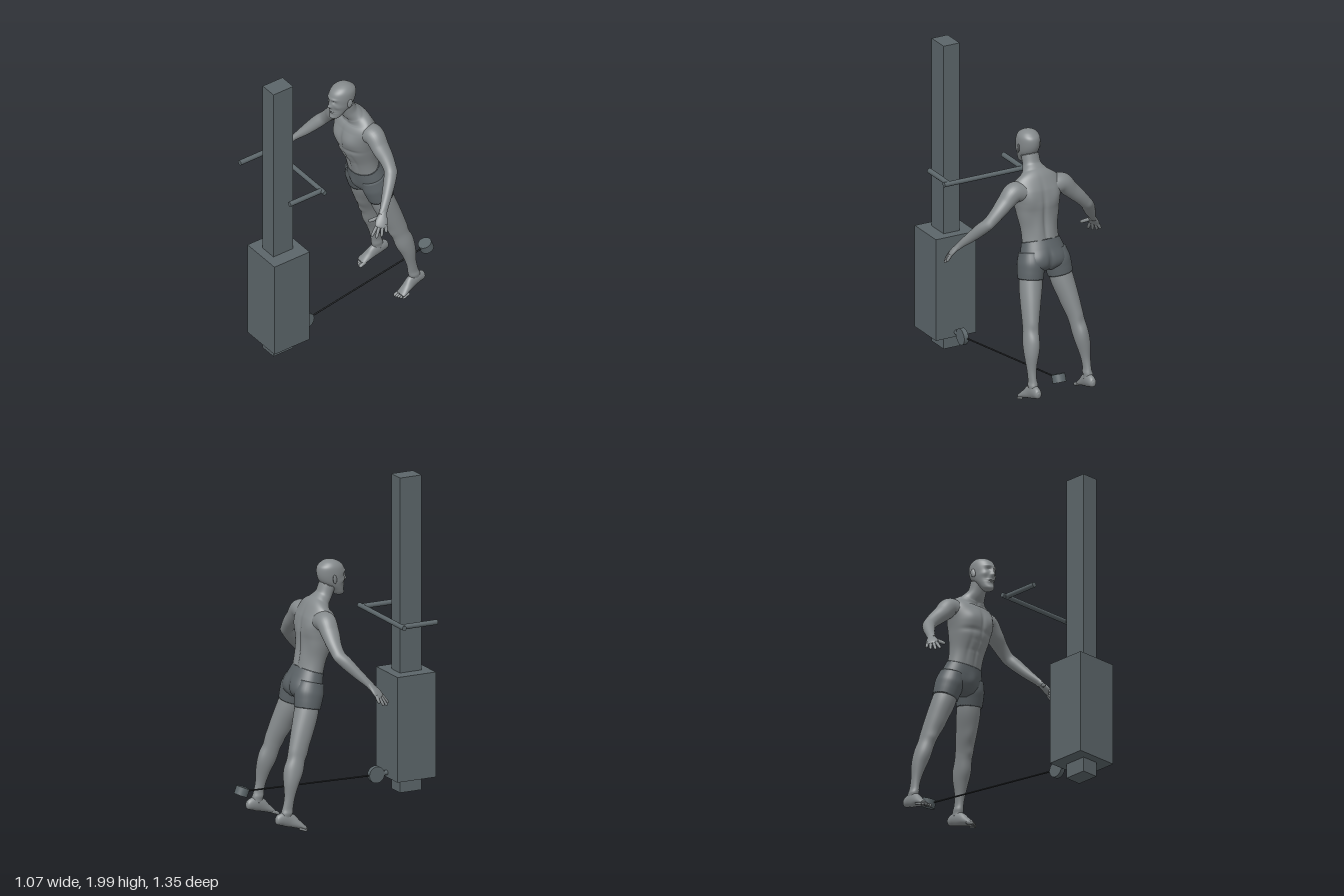
import * as THREE from 'three';

const mat = (name, color) => Object.assign(new THREE.MeshStandardMaterial({ color }), { name });
const skin = mat('skin', 0x84898b);
const cloth = mat('shorts cloth', 0x5a6165);
const steel = mat('machine grey', 0x5b6569);
const cord = mat('cable black', 0x2a2d2f);
const V = (x, y, z) => new THREE.Vector3(x, y, z);

// Smooth skin through elliptical sections [x, y, z, halfWidth, halfDepth].
// ref = width direction; axis = fixed section normal (otherwise it follows the path).
function loft(keys, { rings = 40, sides = 32, ref = V(1, 0, 0), axis = null, bumps = [] } = {}) {
  const path = new THREE.CatmullRomCurve3(keys.map(k => V(k[0], k[1], k[2])), false, 'catmullrom', 0.5);
  const size = new THREE.CatmullRomCurve3(keys.map(k => V(k[3], k[4], 0)), false, 'catmullrom', 0.5);
  const pos = [], idx = [];
  for (let i = 0; i <= rings; i++) {
    const c = path.getPoint(i / rings), s = size.getPoint(i / rings);
    const t = axis || path.getTangent(i / rings);
    const u = ref.clone().addScaledVector(t, -ref.dot(t)).normalize();
    const w = t.clone().cross(u);
    for (let j = 0; j < sides; j++) {
      const a = j / sides * Math.PI * 2;
      const p = c.clone().addScaledVector(u, Math.cos(a) * s.x).addScaledVector(w, Math.sin(a) * s.y);
      pos.push(p.x, p.y, p.z);
      if (i < rings) {
        const k = (j + 1) % sides, r = i * sides, q = r + sides;
        idx.push(r + j, r + k, q + j, r + k, q + k, q + j);
      }
    }
  }
  // End caps
  const first = path.getPoint(0), last = path.getPoint(1), n = (rings + 1) * sides;
  pos.push(...first.toArray(), ...last.toArray());
  for (let j = 0; j < sides; j++) {
    const k = (j + 1) % sides, r = rings * sides;
    idx.push(n, k, j, n + 1, r + j, r + k);
  }
  const g = new THREE.BufferGeometry();
  g.setAttribute('position', new THREE.Float32BufferAttribute(pos, 3));
  g.setIndex(idx);
  g.computeVertexNormals();
  return bumps.length ? sculpt(g, bumps) : g;
}

// Push the surface in or out around points [x, y, z, radiusX, radiusY, amount], on both sides of x = 0
function sculpt(g, bumps) {
  const p = g.attributes.position, nor = g.attributes.normal;
  for (let i = 0; i < p.count; i++) {
    const x = Math.abs(p.getX(i)), y = p.getY(i), z = p.getZ(i);
    let d = 0;
    for (const [bx, by, bz, rx, ry, amount] of bumps)
      d += amount * Math.exp(-(((x - bx) / rx) ** 2) - ((y - by) / ry) ** 2 - ((z - bz) / 0.06) ** 2);
    p.setXYZ(i, p.getX(i) + nor.getX(i) * d, y + nor.getY(i) * d, z + nor.getZ(i) * d);
  }
  g.computeVertexNormals();
  return g;
}

function mirrored(g) {
  const m = g.clone().scale(-1, 1, 1), a = m.index.array;
  for (let i = 0; i < a.length; i += 3) [a[i], a[i + 1]] = [a[i + 1], a[i]];
  m.computeVertexNormals();
  return m;
}

export function createModel() {
  const model = new THREE.Group();
  model.name = 'cableMachineExercise';
  const machine = new THREE.Group(), figure = new THREE.Group();
  machine.name = 'machine';
  figure.name = 'figure';
  model.add(machine, figure);
  const add = (parent, name, g, m) => {
    const mesh = new THREE.Mesh(g, m);
    mesh.name = name;
    parent.add(mesh);
    return mesh;
  };
  const box = (name, x0, x1, y0, y1, z0, z1) =>
    add(machine, name, new THREE.BoxGeometry(x1 - x0, y1 - y0, z1 - z0), steel)
      .position.set((x0 + x1) / 2, (y0 + y1) / 2, (z0 + z1) / 2);
  const rod = (name, a, b, r, m = steel, sides = 20) => {
    const d = b.clone().sub(a);
    const mesh = add(machine, name, new THREE.CylinderGeometry(r, r, d.length(), sides), m);
    mesh.position.copy(a).add(b).multiplyScalar(0.5);
    mesh.quaternion.setFromUnitVectors(V(0, 1, 0), d.normalize());
  };
  const pair = (name, g, m = skin) => {
    add(figure, 'left' + name, g, m);
    add(figure, 'right' + name, mirrored(g), m);
  };

  // Machine: post, weight housing, handle bar, pulley, cable and cuff
  box('post', 0.158, 0.268, 0.035, 2, 0.477, 0.623);
  box('weightHousing', 0.078, 0.354, 0.127, 0.783, 0.418, 0.678);
  rod('handleBar', V(-0.217, 1.18, 0.309), V(0.361, 1.18, 0.309), 0.015);
  for (const x of [-0.183, 0.326]) rod('handleGrip', V(x, 1.18, 0.31), V(x, 1.18, 0.547), 0.016);
  rod('pulley', V(0.199, 0.154, 0.344), V(0.229, 0.154, 0.344), 0.051, steel, 32);
  rod('pulleyArm', V(0.214, 0.156, 0.35), V(0.214, 0.156, 0.43), 0.015);
  rod('cable', V(0.21, 0.153, 0.335), V(0.1, 0.208, -0.6), 0.005, cord, 10);
  rod('ankleCuff', V(0.097, 0.188, -0.637), V(0.097, 0.236, -0.618), 0.042, steel, 32);

  // Torso and neck, with chest, belly and back muscles
  const torsoBumps = [
    [0.07, 1.21, -0.06, 0.055, 0.05, 0.015], [0, 1.2, -0.06, 0.012, 0.07, -0.008],
    [0.07, 1.135, -0.08, 0.06, 0.014, -0.007], [0, 1.03, -0.11, 0.009, 0.11, -0.007],
    [0.06, 1.02, -0.12, 0.012, 0.1, -0.005], [0, 1.08, -0.1, 0.05, 0.009, -0.003],
    [0, 1.02, -0.11, 0.05, 0.009, -0.003], [0, 1.1, -0.29, 0.014, 0.18, -0.012],
    [0.09, 1.23, -0.28, 0.045, 0.06, 0.012], [0.045, 1.03, -0.29, 0.03, 0.1, 0.007],
    [0.11, 1.12, -0.25, 0.04, 0.07, 0.008], [0, 1.335, -0.09, 0.016, 0.016, -0.008],
  ];
  add(figure, 'torso', loft([
    [0, 0.84, -0.265, 0.14, 0.085], [0, 0.93, -0.235, 0.12, 0.084], [0, 1.03, -0.21, 0.117, 0.088],
    [0, 1.13, -0.185, 0.132, 0.108], [0, 1.2, -0.178, 0.148, 0.112], [0, 1.275, -0.178, 0.165, 0.098],
    [0, 1.33, -0.172, 0.14, 0.074], [0, 1.365, -0.152, 0.085, 0.056], [0, 1.4, -0.125, 0.058, 0.05],
    [0, 1.46, -0.1, 0.054, 0.052],
  ], { rings: 100, sides: 96, bumps: torsoBumps }), skin);

  // Head with face relief
  const headBumps = [
    [0, 1.482, 0.02, 0.013, 0.013, 0.017], [0, 1.505, 0.02, 0.008, 0.022, 0.01],
    [0.026, 1.516, 0.005, 0.015, 0.012, -0.012], [0.022, 1.538, 0.01, 0.024, 0.008, 0.005],
    [0, 1.447, 0.01, 0.022, 0.005, 0.006], [0, 1.435, 0.01, 0.02, 0.005, 0.005],
    [0, 1.441, 0.01, 0.025, 0.003, -0.004], [0, 1.4, 0.01, 0.02, 0.013, 0.007],
    [0.045, 1.485, -0.01, 0.016, 0.018, 0.005], [0.035, 1.46, 0, 0.012, 0.02, -0.004],
  ];
  const headProfile = [ // height, front, back, half width
    [1.387, -0.005, -0.035, 0.012], [1.4, 0.004, -0.06, 0.034], [1.43, 0.004, -0.09, 0.048],
    [1.46, 0.008, -0.13, 0.058], [1.49, 0.01, -0.155, 0.064], [1.53, 0.013, -0.167, 0.068],
    [1.57, 0, -0.164, 0.065], [1.595, -0.027, -0.14, 0.05], [1.609, -0.058, -0.114, 0.027],
    [1.614, -0.084, -0.088, 0.002],
  ];
  add(figure, 'head', loft(headProfile.map(([y, f, b, a]) => [0, y, (f + b) / 2, a, (f - b) / 2]),
    { rings: 110, sides: 96, axis: V(0, 1, 0), bumps: headBumps }), skin);
  const ear = new THREE.SphereGeometry(1, 16, 12).scale(0.007, 0.029, 0.016).rotateX(-0.2).rotateY(-0.35);
  pair('Ear', ear.translate(0.07, 1.502, -0.085));

  // Shorts: pelvis and two legs
  add(figure, 'shortsSeat', loft([
    [0, 0.953, -0.23, 0.122, 0.087], [0, 0.9, -0.248, 0.14, 0.097], [0, 0.85, -0.265, 0.155, 0.1],
    [0, 0.805, -0.278, 0.155, 0.085], [0, 0.775, -0.286, 0.1, 0.05],
  ], { rings: 50, sides: 80, bumps: [[0.07, 0.85, -0.365, 0.06, 0.055, 0.012], [0, 0.84, -0.365, 0.012, 0.06, -0.014],
    [0, 0.84, -0.17, 0.03, 0.04, 0.01]] }), cloth);
  pair('ShortsLeg', loft([
    [0.08, 0.89, -0.25, 0.07, 0.08], [0.086, 0.83, -0.268, 0.083, 0.092], [0.095, 0.78, -0.28, 0.081, 0.087],
    [0.102, 0.735, -0.29, 0.077, 0.08],
  ], { rings: 20 }), cloth);

  // Legs
  pair('Leg', loft([
    [0.09, 0.8, -0.275, 0.066, 0.072], [0.108, 0.7, -0.303, 0.07, 0.075], [0.13, 0.6, -0.34, 0.06, 0.07],
    [0.15, 0.5, -0.378, 0.049, 0.061], [0.158, 0.45, -0.395, 0.046, 0.058], [0.17, 0.38, -0.415, 0.047, 0.059],
    [0.179, 0.31, -0.437, 0.042, 0.048], [0.186, 0.22, -0.454, 0.028, 0.033], [0.188, 0.15, -0.468, 0.024, 0.034],
    [0.188, 0.1, -0.48, 0.027, 0.036],
  ], { rings: 70, bumps: [[0.155, 0.47, -0.33, 0.025, 0.03, 0.007], [0.15, 0.37, -0.475, 0.03, 0.06, 0.008],
    [0.11, 0.56, -0.3, 0.025, 0.05, 0.006], [0.165, 0.46, -0.46, 0.025, 0.03, -0.006],
    [0.163, 0.14, -0.465, 0.02, 0.015, 0.005], [0.212, 0.13, -0.47, 0.02, 0.015, 0.005]] }));

  // Feet with raised heels, and toes
  pair('Foot', loft([
    [0.188, 0.09, -0.55, 0.008, 0.01], [0.188, 0.09, -0.538, 0.022, 0.028], [0.188, 0.093, -0.495, 0.028, 0.042],
    [0.191, 0.08, -0.452, 0.029, 0.042], [0.197, 0.056, -0.412, 0.033, 0.028], [0.202, 0.034, -0.375, 0.035, 0.017],
    [0.203, 0.026, -0.36, 0.03, 0.012],
  ], { rings: 30 }));
  for (let i = 0; i < 5; i++) {
    const x = 0.176 + i * 0.0138, r = i ? 0.0075 : 0.011, z = -0.34 - i * i * 0.0018;
    pair('Toe', loft([[x, 0.03, z - 0.04, r, r], [x, 0.023, z - 0.018, r, r], [x, 0.015, z, r, r * 0.9],
      [x, 0.012, z + 0.008, r * 0.3, r * 0.3]], { rings: 10, sides: 12 }));
  }

  // Arms
  pair('Arm', loft([
    [0.1, 1.265, -0.19, 0.06, 0.07], [0.165, 1.272, -0.195, 0.062, 0.064], [0.222, 1.22, -0.198, 0.05, 0.056],
    [0.28, 1.165, -0.203, 0.042, 0.046], [0.333, 1.108, -0.195, 0.037, 0.039], [0.368, 1.065, -0.163, 0.039, 0.037],
    [0.413, 1.0, -0.108, 0.031, 0.03], [0.449, 0.95, -0.062, 0.02, 0.025], [0.463, 0.925, -0.042, 0.015, 0.026],
  ], { rings: 60, ref: V(0.7, 0.7, 0), bumps: [[0.24, 1.18, -0.16, 0.04, 0.05, 0.004], [0.345, 1.1, -0.23, 0.02, 0.02, 0.005]] }));

  // Hands: palm, then spread fingers and thumb
  const across = V(-0.4, -0.1, 0.9).normalize();
  pair('Palm', loft([
    [0.45, 0.95, -0.062, 0.02, 0.018], [0.465, 0.925, -0.042, 0.027, 0.016], [0.482, 0.897, -0.022, 0.037, 0.015],
    [0.495, 0.872, -0.006, 0.036, 0.012], [0.499, 0.864, -0.001, 0.026, 0.006],
  ], { rings: 24, ref: across }));
  const finger = (name, a, b, r) => {
    const at = (t, k) => [...a.clone().lerp(b, t).toArray(), r * k, r * k];
    pair(name, loft([at(0, 1), at(0.5, 1.05), at(0.9, 0.85), at(1, 0.25)], { rings: 14, sides: 12, ref: across }));
  };
  const tips = [V(0.488, 0.82, 0.056), V(0.509, 0.812, 0.037), V(0.524, 0.818, 0.008), V(0.528, 0.838, -0.024)];
  tips.forEach((tip, i) => finger('Finger', V(0.493, 0.878, -0.01).addScaledVector(across, 0.027 - i * 0.018), tip, 0.0095));
  finger('Thumb', V(0.462, 0.915, -0.025), V(0.42, 0.882, 0.03), 0.011);

  return model;
}
